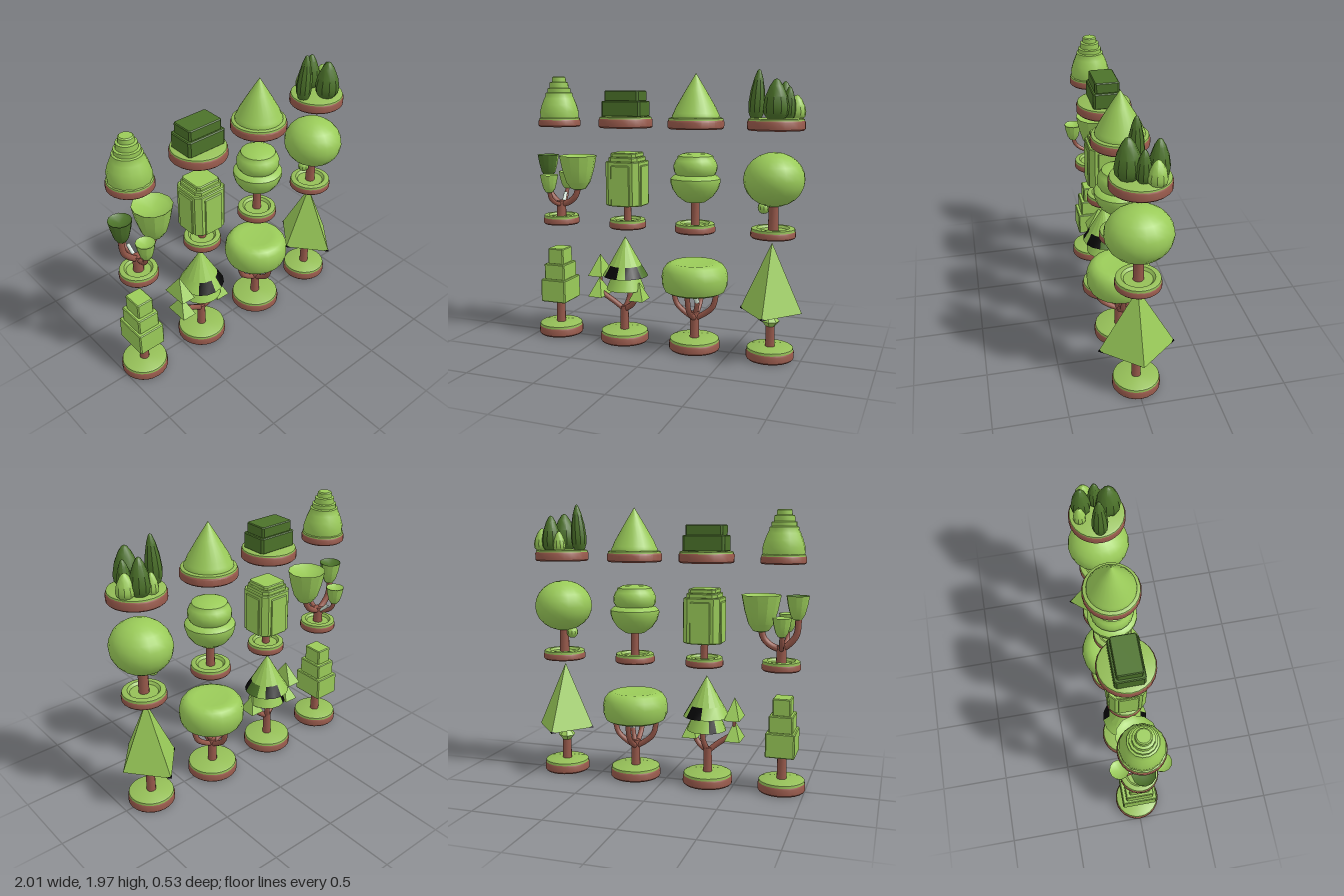
import * as THREE from 'three';
import { toCreasedNormals } from 'three/addons/utils/BufferGeometryUtils.js';
import { ConvexGeometry } from 'three/addons/geometries/ConvexGeometry.js';

const mat = (name, color) => Object.assign(new THREE.MeshStandardMaterial({ color }), { name });

export function createModel() {
  const root = new THREE.Group();
  const green = mat('leafGreen', 0x9acb59);
  const grass = mat('grassGreen', 0x95bf58);
  const dark = mat('darkLeafGreen', 0x4c722a);
  const brown = mat('barkBrown', 0x96584a);
  const pale = mat('paleMint', 0xd6e8da);
  const black = mat('hollowBlack', 0x060606);

  let group; // plant being built
  const plant = (name, x, y) => {
    group = new THREE.Group();
    group.name = name;
    group.position.set(x, y, 0);
    root.add(group);
  };
  const add = (name, geo, m, x = 0, y = 0, z = 0, crease = 0.6) => {
    const mesh = new THREE.Mesh(toCreasedNormals(geo, crease), m);
    mesh.name = name;
    mesh.position.set(x, y, z);
    group.add(mesh);
    return mesh;
  };
  const lathe = (pts, seg = 24, start = 0, length = Math.PI * 2) =>
    new THREE.LatheGeometry(pts.map(([r, y]) => new THREE.Vector2(r, y)), seg, start, length);
  const trunk = (r, y0, y1) =>
    add('trunk', new THREE.CylinderGeometry(r * 0.92, r, y1 - y0, 12), brown, 0, (y0 + y1) / 2);
  const branch = (r, m, ...pts) => add('branch', new THREE.TubeGeometry(
    new THREE.CatmullRomCurve3(pts.map(p => new THREE.Vector3(...p))), 12, r, 8), m, 0, 0, 0, 1);

  // Round planter: soil rim up to height b with a grass top, optionally dished
  const base = (r, h, b, dished = false, under = brown) => {
    add('soilUnderside', lathe([[0, 0], [r * 0.95, 0]]), under);
    add('soilRim', lathe([[r * 0.95, 0], [r, h * 0.12], [r, b - h * 0.12], [r * 0.97, b]]), brown);
    const inner = dished ? [[r * 0.72, h], [r * 0.62, h * 0.75], [0, h * 0.75]] : [[0, h]];
    add('grassTop', lathe([[r * 0.97, b], [r * 0.96, h * 0.93], [r * 0.9, h], ...inner]), grass);
  };

  // Box with chamfered upright corners and a small bevel
  const block = (name, w, h, d, c, y, m, under = m) => {
    const a = w / 2, b = d / 2, s = new THREE.Shape();
    [[a - c, -b], [a, c - b], [a, b - c], [a - c, b], [c - a, b], [-a, b - c], [-a, c - b], [c - a, -b]]
      .forEach(([px, py], i) => (i ? s.lineTo(px, py) : s.moveTo(px, py)));
    const e = 0.006;
    const g = new THREE.ExtrudeGeometry(s, {
      depth: h - 2 * e, bevelEnabled: true, bevelSize: e, bevelOffset: -e, bevelThickness: e, bevelSegments: 1 });
    g.translate(0, 0, e).rotateX(-Math.PI / 2);
    add(name, g, m, 0, y, 0, 0.4);
    if (under !== m) {
      const plate = new THREE.PlaneGeometry(w - 2 * c, d - 2 * c).rotateX(Math.PI / 2);
      add('crownUnderside', plate, under, 0, y - 0.002, 0);
    }
  };
  // Ring of sixteen facets, each with its own colour
  const facetBand = (name, r0, r1, h, y, colourOf) => {
    const g = new THREE.CylinderGeometry(r1, r0, h, 16, 1, true);
    g.clearGroups();
    for (let i = 0; i < 16; i++) g.addGroup(i * 6, 6, colourOf[i] ?? 0);
    add(name, g, [green, black, dark], 0.01, y + h / 2, 0, 0.5);
  };

  // ---- Bottom row ----
  plant('steppedBoxTree', -0.84, 0);
  base(0.165, 0.085, 0.062);
  trunk(0.034, 0.08, 0.28);
  block('lowerCrown', 0.2, 0.17, 0.25, 0.008, 0.26, green, pale);
  block('middleCrown', 0.165, 0.12, 0.2, 0.008, 0.425, green);
  block('upperCrown', 0.125, 0.12, 0.15, 0.008, 0.54, green);

  plant('branchingConeTree', -0.31, 0);
  base(0.177, 0.085, 0.062);
  trunk(0.032, 0.08, 0.26);
  branch(0.02, brown, [0, 0.23, 0], [-0.07, 0.29, 0.02], [-0.13, 0.33, 0.03], [-0.18, 0.36, 0.03]);
  branch(0.014, brown, [-0.16, 0.34, 0.02], [-0.185, 0.4, 0.01], [-0.19, 0.51, 0]);
  branch(0.02, brown, [0, 0.23, 0], [0.07, 0.28, 0.02], [0.11, 0.35, 0.03], [0.12, 0.39, 0.03]);
  branch(0.02, brown, [0, 0.23, 0], [0.03, 0.34, -0.03], [0.01, 0.5, 0]);
  add('crownTop', new THREE.CylinderGeometry(0, 0.118, 0.21, 16, 1, true), green, 0.01, 0.675, 0, 0.3);
  facetBand('crownBand', 0.165, 0.118, 0.08, 0.49, { 1: 1, 2: 1, 3: 2, 4: 2, 6: 1, 7: 1, 14: 1, 15: 1 });
  add('crownBandUnderside', new THREE.CircleGeometry(0.163, 16).rotateX(Math.PI / 2), green, 0.01, 0.49, 0);
  facetBand('crownSkirt', 0.14, 0.1, 0.1, 0.39, { 9: 1 });
  add('crownSkirtUnderside', new THREE.CircleGeometry(0.139, 16).rotateX(Math.PI / 2), green, 0.01, 0.39, 0);
  [[-0.19, 0.485, 0.005, 0.15, 0.1], [-0.19, 0.33, 0.02, 0.135, 0.09], [0.13, 0.325, 0.03, 0.13, 0.07]]
    .forEach(([x, y, z, h, depth]) => {
      const g = new THREE.ConeGeometry(Math.SQRT2, h, 4).rotateY(Math.PI / 4).scale(0.054, 1, depth);
      add('sideCrown', g, green, x, y + h / 2, z, 0.3);
    });

  plant('umbrellaTree', 0.235, 0);
  base(0.182, 0.085, 0.062);
  trunk(0.034, 0.08, 0.27);
  for (let i = 0; i < 4; i++) {
    const c = Math.cos(i * Math.PI / 2), s = Math.sin(i * Math.PI / 2);
    branch(0.02, brown, ...[[0, 0.22], [0.07, 0.26], [0.135, 0.32], [0.165, 0.45]].map(([r, y]) => [r * c, y, r * s]));
    // Small hanging leaf clumps between the branches
    const clump = new THREE.ConeGeometry(0.035, 0.06, 5).rotateX(Math.PI);
    add('leafClump', clump, i % 2 ? pale : green, (c - s) * 0.085, 0.43, (c + s) * 0.085, 0.3);
  }
  branch(0.018, brown, [0, 0.24, 0], [0.02, 0.3, 0.02], [0.03, 0.35, 0.03]);
  branch(0.018, pale, [0.03, 0.35, 0.03], [0.02, 0.4, 0.05], [0.01, 0.46, 0.06]);
  add('crownUnderside', lathe([[0, 0.47], [0.1, 0.46], [0.185, 0.415]]), green);
  add('crown', lathe([[0.185, 0.415], [0.215, 0.43], [0.232, 0.47], [0.235, 0.53], [0.225, 0.58],
    [0.2, 0.615], [0.165, 0.632], [0.12, 0.628], [0, 0.62]], 20), green);

  plant('pyramidTree', 0.785, 0);
  base(0.165, 0.085, 0.062);
  trunk(0.033, 0.08, 0.38);
  add('trunkTuft', lathe([[0, 0.22], [0.035, 0.23], [0.064, 0.265], [0.03, 0.3], [0, 0.335]], 7), green, 0, 0, 0, 0.3);
  add('crown', new THREE.ConeGeometry(1, 0.475, 4).scale(0.215, 1, 0.26), [green, green, pale], 0, 0.5725, 0, 0.3);
  // Dark hem tips on three corners
  const apex = new THREE.Vector3(0, 0.475, 0);
  const corners = [[0, 0.26], [0.215, 0], [0, -0.26], [-0.215, 0]].map(([x, z]) => new THREE.Vector3(x, 0, z));
  for (const i of [0, 2, 3]) {
    const c = corners[i];
    const tip = [c, c.clone().lerp(apex, 0.03),
      c.clone().lerp(corners[(i + 1) % 4], 0.13), c.clone().lerp(corners[(i + 3) % 4], 0.13)];
    add('cornerTip', new ConvexGeometry(tip.map(p => p.clone().multiplyScalar(1.012))), black, 0, 0.334, 0, 0.1);
  }

  // ---- Middle row ----
  plant('cupTree', -0.82, 0.847);
  base(0.133, 0.068, 0.046, true);
  trunk(0.036, 0.05, 0.17);
  const cup = (r, h, x, y, z, front = green, inside = green) => {
    const prof = [[0, 0], [0.4, 0.06], [0.65, 0.25], [0.85, 0.6], [1, 1]].map(([a, b]) => [a * r, b * h]);
    add('cupFront', lathe(prof, 6, -Math.PI / 2, Math.PI), front, x, y, z, 0.5);
    add('cupBack', lathe(prof, 6, Math.PI / 2, Math.PI), green, x, y, z, 0.5);
    add('cupHollow', lathe([[r, h], [r * 0.8, h * 0.92], [0, h * 0.85]], 12), inside, x, y, z);
  };
  cup(0.137, 0.26, 0.145, 0.25, 0);
  cup(0.078, 0.17, -0.102, 0.34, 0, dark, dark);
  cup(0.065, 0.135, -0.02, 0.24, 0.14);
  cup(0.065, 0.135, -0.02, 0.24, -0.14);
  branch(0.023, brown, [0, 0.14, 0], [0.07, 0.165, 0], [0.12, 0.21, 0], [0.145, 0.28, 0]);
  branch(0.022, brown, [0, 0.14, 0], [-0.06, 0.19, 0], [-0.1, 0.25, 0], [-0.11, 0.36, 0]);
  for (const s of [1, -1]) {
    branch(0.016, brown, [0, 0.14, 0], [-0.01, 0.16, s * 0.07], [-0.02, 0.2, s * 0.12], [-0.02, 0.26, s * 0.14]);
  }
  branch(0.014, pale, [0, 0.15, -0.03], [-0.005, 0.18, -0.06], [-0.01, 0.22, -0.09]);

  plant('boxTree', -0.28, 0.847);
  base(0.133, 0.068, 0.046, true);
  trunk(0.028, 0.05, 0.18);
  block('crown', 0.255, 0.315, 0.255, 0.035, 0.17, green, pale);
  block('crownSidePanel', 0.272, 0.29, 0.14, 0.004, 0.168, green);
  block('crownFrontPanel', 0.14, 0.29, 0.272, 0.004, 0.168, green);
  block('crownShoulder', 0.22, 0.035, 0.22, 0.03, 0.48, green);
  block('crownCap', 0.19, 0.033, 0.19, 0.02, 0.512, green);

  plant('doubleRoundTree', 0.235, 0.847);
  base(0.142, 0.068, 0.046, true, grass);
  trunk(0.031, 0.05, 0.24);
  add('crown', lathe([[0, 0.21], [0.07, 0.215], [0.125, 0.255], [0.16, 0.305], [0.175, 0.355], [0.174, 0.378],
    [0.15, 0.4], [0.135, 0.405], [0.15, 0.43], [0.152, 0.47], [0.138, 0.505], [0.128, 0.515], [0.122, 0.535],
    [0.085, 0.552], [0, 0.557]], 20), green);

  plant('roundTree', 0.79, 0.847);
  base(0.153, 0.068, 0.046, true, grass);
  trunk(0.036, 0.05, 0.24);
  add('crown', new THREE.SphereGeometry(1, 20, 12).scale(0.206, 0.183, 0.22), green, 0, 0.393);
  add('sideTuft', new THREE.SphereGeometry(0.042, 10, 8), green, -0.07, 0.198, -0.01);

  // ---- Top row ----
  plant('tieredBush', -0.82, 1.567);
  base(0.153, 0.066, 0.05);
  add('bush', lathe([[0.14, 0.06], [0.142, 0.11], [0.128, 0.158], [0.11, 0.203], [0.1, 0.223], [0.098, 0.243],
    [0.085, 0.248], [0.085, 0.276], [0.07, 0.28], [0.068, 0.318], [0.052, 0.323], [0.05, 0.353],
    [0.042, 0.36], [0, 0.36]], 14), green);

  plant('hedge', -0.29, 1.567);
  base(0.193, 0.08, 0.064);
  block('hedgeLower', 0.295, 0.11, 0.2, 0.015, 0.078, dark);
  block('hedgeUpper', 0.26, 0.075, 0.17, 0.012, 0.184, dark);

  plant('coneBush', 0.235, 1.567);
  base(0.195, 0.078, 0.06);
  add('bush', lathe([[0.165, 0.076], [0.163, 0.093], [0.154, 0.108], [0.14, 0.143], [0.07, 0.263], [0, 0.378]]), green, 0, 0, 0, 0.5);

  plant('shrubCluster', 0.795, 1.567);
  base(0.193, 0.08, 0.064);
  const leafProfile = [[0, 0], [0.65, 0.03], [0.93, 0.15], [1, 0.32], [0.85, 0.57], [0.52, 0.82], [0.22, 0.96], [0, 1]];
  [[-0.14, 0, 0.056, 0.335, -0.06, dark], [0.015, 0.08, 0.085, 0.27, 0, dark], [0.035, -0.1, 0.067, 0.255, 0, dark],
    [0.075, 0, 0.05, 0.22, -0.05, dark], [0.12, -0.07, 0.062, 0.165, 0, green], [-0.035, -0.12, 0.045, 0.145, 0, green]]
    .forEach(([x, z, r, h, tilt, m]) => {
      add('shrub', lathe(leafProfile.map(([a, b]) => [a * r, b * h]), 10), m, x, 0.068, z).rotation.z = tilt;
    });

  return root;
}
